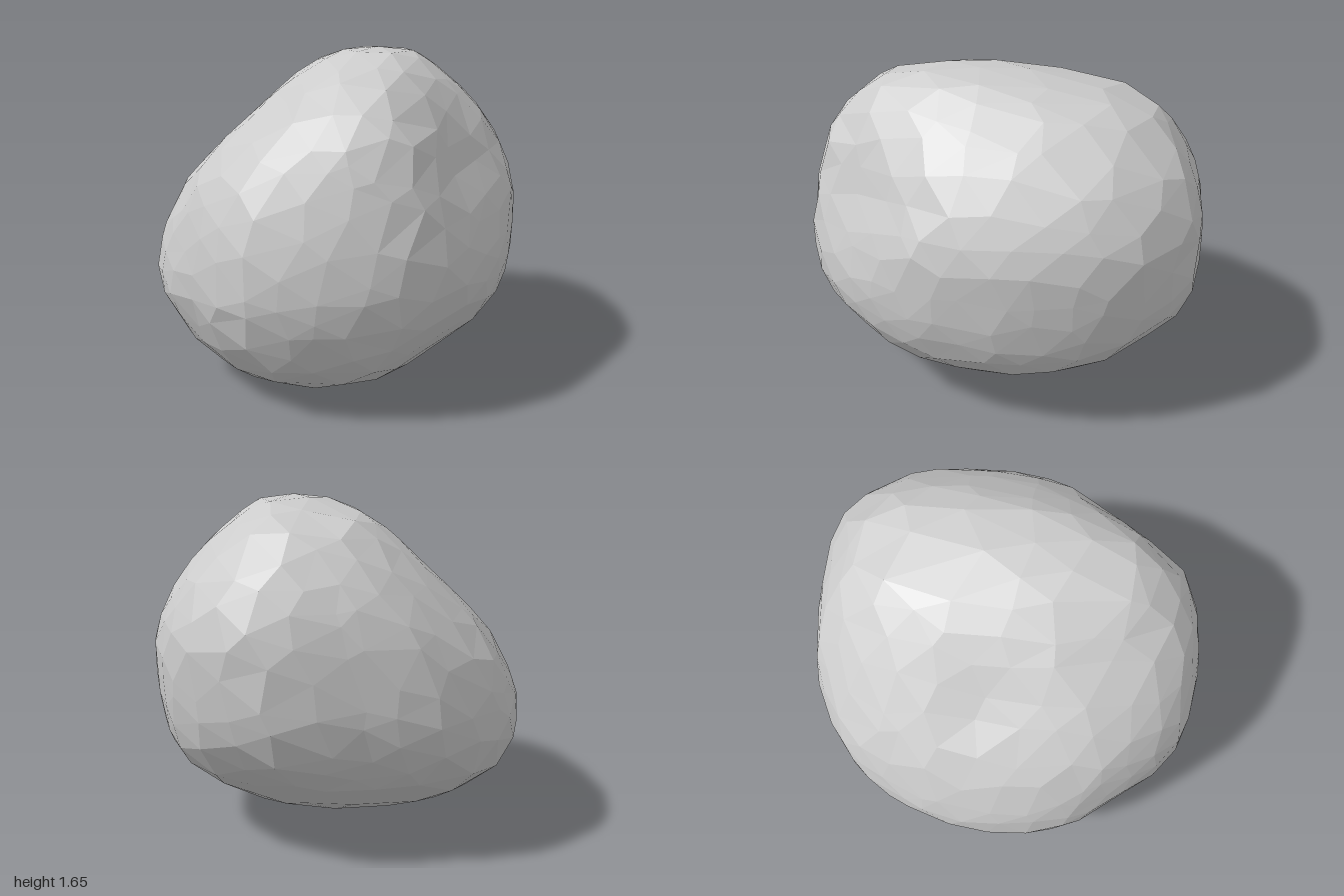
import * as THREE from 'three';
import { mergeVertices } from 'three/addons/utils/BufferGeometryUtils.js';

// Level sections from bottom to top: y, xMin, xMax, zMin, zMax
const SECTIONS = [
  [0.00, -0.13, -0.13, 0.25, 0.25],
  [0.03, -0.37, 0.20, 0.00, 0.51],
  [0.09, -0.57, 0.42, -0.32, 0.65],
  [0.20, -0.72, 0.59, -0.59, 0.83],
  [0.35, -0.84, 0.79, -0.82, 0.92],
  [0.50, -0.92, 0.875, -0.94, 0.98],
  [0.65, -0.915, 0.905, -0.995, 1.00],
  [0.80, -0.86, 0.915, -1.00, 0.99],
  [1.00, -0.75, 0.92, -0.995, 0.95],
  [1.15, -0.61, 0.86, -0.97, 0.91],
  [1.30, -0.47, 0.78, -0.90, 0.86],
  [1.45, -0.30, 0.64, -0.80, 0.75],
  [1.565, -0.15, 0.51, -0.66, 0.62],
  [1.64, 0.03, 0.39, -0.29, 0.41],
  [1.66, 0.22, 0.22, 0.10, 0.10],
];

// Plan outline: radius every 22.5 degrees, from +x towards +z
const PLAN = [0.915, 0.93, 0.98, 1.01, 1, 1, 0.90, 0.92, 0.915, 0.945, 0.98, 1.03, 1, 1.08, 1.05, 0.965];

// Local swellings and hollows: centre, push, squared reach, roughness
const SWELLS = [
  { at: [-0.38, 1.25, -0.05], push: [0.035, -0.035, 0], reach: 0.05, rough: 1.2 }, // hollow in the slope
  { at: [-0.45, 1.08, 0.58], push: [-0.06, 0.03, 0.05], reach: 0.12, rough: 0 }, // front shoulder
  { at: [0.66, 1.15, 0.58], push: [-0.085, -0.02, -0.085], reach: 0.1, rough: 0 }, // flattened front corner
  { at: [-0.62, 0.9, -0.7], push: [-0.025, 0, -0.025], reach: 0.05, rough: 0 }, // back corner
  { at: [-0.6, 0.38, -0.62], push: [-0.035, -0.02, -0.035], reach: 0.05, rough: 0 }, // low back corner
  { at: [0.55, 0.32, 0.6], push: [-0.035, 0.03, -0.035], reach: 0.08, rough: 0 }, // undercut front corner
  { at: [0.4, 0.3, -0.75], push: [-0.01, 0.03, 0.04], reach: 0.06, rough: 0 }, // undercut back
];

function seeded(seed) {
  return () => {
    seed = (seed * 16807) % 2147483647;
    return seed / 2147483647;
  };
}

function planRadius(angle) {
  const t = ((angle / (2 * Math.PI) + 1) % 1) * PLAN.length;
  const i = Math.floor(t) % PLAN.length;
  return THREE.MathUtils.lerp(PLAN[i], PLAN[(i + 1) % PLAN.length], t - Math.floor(t));
}

// Map a direction on the unit sphere to the stone's surface
function toStone(v) {
  const last = SECTIONS.length - 1;
  const t = (1 - Math.acos(THREE.MathUtils.clamp(v.y, -1, 1)) / Math.PI) * last;
  const i = Math.min(Math.floor(t), last - 1);
  const [y, x0, x1, z0, z1] = SECTIONS[i].map((a, k) => THREE.MathUtils.lerp(a, SECTIONS[i + 1][k], t - i));
  const angle = Math.atan2(v.z, v.x);
  const r = planRadius(angle);
  return new THREE.Vector3(
    (x0 + x1) / 2 + ((x1 - x0) / 2) * (r / 0.915) * Math.cos(angle),
    y,
    (z0 + z1) / 2 + ((z1 - z0) / 2) * r * Math.sin(angle)
  );
}

export function createModel() {
  const group = new THREE.Group();
  group.name = 'rock';

  let geometry = new THREE.IcosahedronGeometry(1, 5);
  geometry.deleteAttribute('normal');
  geometry.deleteAttribute('uv');
  geometry = mergeVertices(geometry, 1e-4);

  const random = seeded(4721);
  const jitter = (amount) => (random() - 0.5) * amount;
  const position = geometry.attributes.position;
  const v = new THREE.Vector3();
  for (let i = 0; i < position.count; i++) {
    // Irregular facets
    v.fromBufferAttribute(position, i);
    v.x += jitter(0.1);
    v.y += jitter(0.1);
    v.z += jitter(0.1);
    const p = toStone(v.normalize());
    const base = p.clone();
    for (const { at, push, reach, rough } of SWELLS) {
      const d2 = base.distanceToSquared(new THREE.Vector3(...at));
      p.addScaledVector(new THREE.Vector3(...push), Math.exp(-d2 / reach) * (1 + jitter(rough)));
    }
    position.setXYZ(i, p.x, p.y, p.z);
  }

  // Settle on the ground and centre
  geometry.computeBoundingBox();
  const c = geometry.boundingBox.getCenter(new THREE.Vector3());
  geometry.translate(-c.x, -geometry.boundingBox.min.y, -c.z);
  geometry.computeVertexNormals();

  const stone = new THREE.Mesh(
    geometry,
    new THREE.MeshStandardMaterial({ color: 0xcccccc, flatShading: true })
  );
  stone.name = 'stone';
  group.add(stone);
  return group;
}
